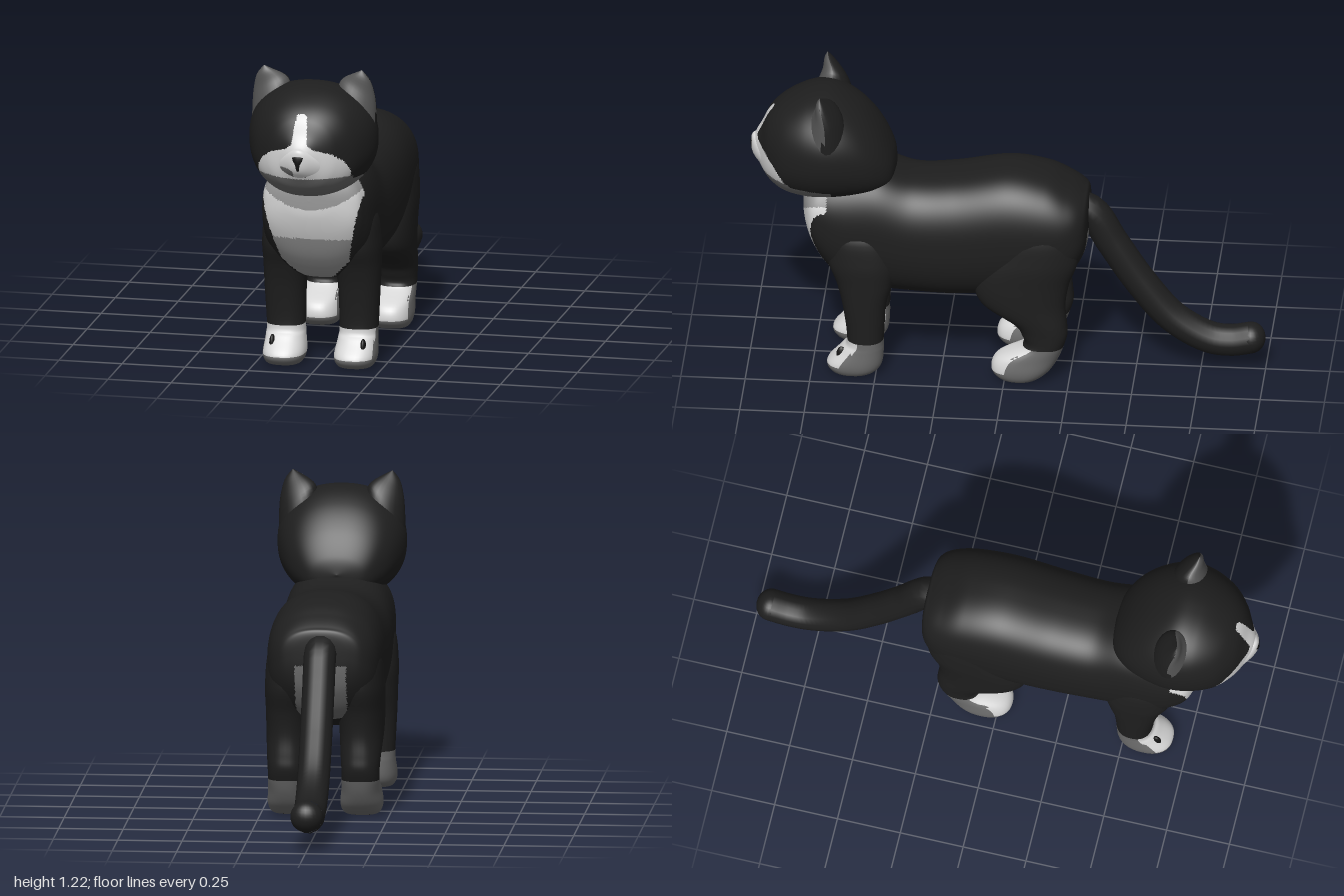
import * as THREE from 'three';

const makeMaterial = (name, color) => {
  const m = new THREE.MeshStandardMaterial({ color });
  m.name = name;
  return m;
};

// Catmull-Rom blend of table rows, column by column
function sampleRows(rows, steps) {
  const out = [], last = rows.length - 1;
  for (let i = 0; i < last; i++) {
    const [a, b, c, d] = [Math.max(i - 1, 0), i, i + 1, Math.min(i + 2, last)].map(k => rows[k]);
    for (let s = 0; s < steps; s++) {
      const t = s / steps;
      out.push(b.map((v, k) => v + 0.5 * t * (c[k] - a[k] +
        t * (2 * a[k] - 5 * v + 4 * c[k] - d[k] + t * (3 * (v - c[k]) + d[k] - a[k])))));
    }
  }
  out.push(rows[last]);
  return out;
}

// Skin over closed cross-sections; pick(centre, normal) chooses the material of each face
function loft(name, rows, { steps = 4, sides = 24, power = 2, point, materials, pick = () => 0 }) {
  const rings = sampleRows(rows, steps), points = [];
  const bend = v => Math.sign(v) * Math.abs(v) ** (2 / power);
  for (const row of rings) {
    for (let j = 0; j < sides; j++) {
      const a = j / sides * Math.PI * 2;
      points.push(new THREE.Vector3(...point(row, bend(Math.cos(a)), bend(Math.sin(a)))));
    }
  }
  const faces = materials.map(() => []);
  const triangle = new THREE.Triangle(), centre = new THREE.Vector3(), normal = new THREE.Vector3();
  for (let i = 0; i < rings.length - 1; i++) {
    for (let j = 0; j < sides; j++) {
      const k = (j + 1) % sides, p = i * sides, q = p + sides;
      for (const tri of [[p + j, p + k, q + j], [p + k, q + k, q + j]]) {
        triangle.set(...tri.map(v => points[v]));
        faces[pick(triangle.getMidpoint(centre), triangle.getNormal(normal))].push(...tri);
      }
    }
  }
  const geo = new THREE.BufferGeometry().setFromPoints(points);
  geo.setIndex(faces.flat());
  let start = 0;
  faces.forEach((f, m) => {
    if (f.length) geo.addGroup(start, f.length, m);
    start += f.length;
  });
  geo.computeVertexNormals();
  const mesh = new THREE.Mesh(geo, materials);
  mesh.name = name;
  return mesh;
}

// Piecewise linear lookup
function lookup(points, v) {
  if (v <= points[0][0]) return points[0][1];
  for (let i = 1; i < points.length; i++) {
    const [a, fa] = points[i - 1], [b, fb] = points[i];
    if (v <= b) return fa + (fb - fa) * (v - a) / (b - a);
  }
  return points[points.length - 1][1];
}

export function createModel() {
  const black = makeMaterial('black fur', 0x1e1e1e);
  const white = makeMaterial('white fur', 0xd6d6d6);
  const lightGrey = makeMaterial('light grey fur', 0x979797);
  const grey = makeMaterial('grey fur', 0x6a6a6a);
  const earGrey = makeMaterial('inner ear grey', 0x545454);
  const dark = makeMaterial('nose and pad black', 0x131313);
  const cat = new THREE.Group();
  cat.name = 'cat';
  const add = (name, geo, mat, x, y, z, sx = 1, sy = 1, sz = 1) => {
    const m = new THREE.Mesh(geo, mat);
    m.name = name;
    m.position.set(x, y, z);
    m.scale.set(sx, sy, sz);
    cat.add(m);
  };

  // Rows along z: z, low y, high y, half width
  const alongZ = ([z, lo, hi, r], c, s) => [r * c, (lo + hi) / 2 + (hi - lo) / 2 * s, z];

  // Torso: white bib, light throat and lower chest, grey belly and under-tail patch
  const bib = [[0.33, 0], [0.36, 0.06], [0.44, 0.135], [0.55, 0.16], [0.72, 0.2], [0.8, 0.21]];
  cat.add(loft('torso', [
    [-0.32, 0.66, 0.66, 0], [-0.315, 0.57, 0.745, 0.11], [-0.295, 0.5, 0.77, 0.17],
    [-0.24, 0.42, 0.805, 0.205], [-0.15, 0.37, 0.845, 0.22], [0, 0.335, 0.865, 0.225],
    [0.2, 0.32, 0.83, 0.22], [0.36, 0.325, 0.82, 0.215], [0.5, 0.335, 0.865, 0.215],
    [0.62, 0.36, 0.86, 0.215], [0.7, 0.44, 0.84, 0.205], [0.755, 0.54, 0.81, 0.18],
    [0.785, 0.63, 0.76, 0.1], [0.79, 0.7, 0.7, 0]
  ], {
    steps: 10, sides: 120, power: 2.5, point: alongZ, materials: [black, white, lightGrey, grey],
    pick: ({ x, y, z }) => {
      const w = Math.abs(x);
      if (z > (y > 0.6 ? 0.69 : 0.58) && w < lookup(bib, y)) {
        return y < 0.54 || y > 0.665 + 2 * w * w ? 2 : 1;
      }
      const belly = y < 0.35 && w < 0.14 && z > 0.08 && z < 0.44;
      const underTail = z < -0.2 && y < 0.62 && w < 0.1;
      return belly || underTail ? 3 : 0;
    }
  }));

  // Head with white blaze and grey chin
  const mask = [[0, 1.08], [0.018, 1.075], [0.025, 1.04], [0.03, 0.97], [0.055, 0.95], [0.12, 0.93],
    [0.16, 0.9], [0.182, 0.86], [0.185, 0.815], [0.26, 0.795]];
  cat.add(loft('head', [
    [0.43, 0.85, 0.85, 0], [0.445, 0.78, 0.92, 0.11], [0.5, 0.75, 1.02, 0.18],
    [0.58, 0.735, 1.105, 0.225], [0.68, 0.725, 1.16, 0.25], [0.77, 0.725, 1.155, 0.24],
    [0.86, 0.74, 1.115, 0.2], [0.92, 0.775, 1.065, 0.14], [0.955, 0.82, 1.0, 0.08],
    [0.98, 0.87, 0.955, 0.035], [0.985, 0.915, 0.915, 0]
  ], {
    steps: 12, sides: 160, power: 2.25, point: alongZ, materials: [black, white, grey],
    pick: ({ x, y, z }) => (z < 0.67 || y > lookup(mask, Math.abs(x)) ? 0 : y > 0.83 ? 1 : 2)
  }));

  // Muzzle with a grey lip patch on one side
  cat.add(loft('muzzle', [
    [0.79, 0.8, 0.925, 0.16], [0.86, 0.797, 0.935, 0.155], [0.91, 0.805, 0.943, 0.125],
    [0.95, 0.825, 0.953, 0.085], [0.98, 0.853, 0.955, 0.048], [0.994, 0.88, 0.945, 0.022],
    [0.998, 0.915, 0.915, 0]
  ], {
    steps: 10, sides: 80, point: alongZ, materials: [white, grey],
    pick: ({ x, y }) => (y < 0.83 || Math.hypot((x + 0.065) / 0.045, (y - 0.856) / 0.022) < 1 ? 1 : 0)
  }));

  // Tapered nose, rows from the top: y, back z, front z, centre x, half width
  const alongY = side => ([y, lo, hi, x, r], c, s) =>
    [side * x + r * c, y, (lo + hi) / 2 + (hi - lo) / 2 * s];
  cat.add(loft('nose', [
    [0.938, 0.975, 0.975, 0, 0], [0.932, 0.95, 0.995, 0, 0.034], [0.915, 0.95, 1.0, 0, 0.032],
    [0.895, 0.95, 0.999, 0, 0.02], [0.87, 0.95, 0.992, 0, 0.012], [0.858, 0.97, 0.97, 0, 0]
  ], { sides: 20, point: alongY(1), materials: [dark] }));

  const ball = new THREE.SphereGeometry(1, 24, 16);
  for (const s of [-1, 1]) {
    // Mouth line
    const smile = new THREE.CatmullRomCurve3([[0, 0.865, 0.983], [0.03, 0.838, 0.957],
      [0.065, 0.833, 0.937], [0.105, 0.842, 0.914]].map(([x, y, z]) => new THREE.Vector3(s * x, y, z)));
    add('mouthLine', new THREE.TubeGeometry(smile, 16, 0.004, 6), dark, 0, 0, 0);

    // Ear rows: centre x, y, z, half spread in x, drop in y, half depth
    cat.add(loft('ear', [
      [0.168, 1.055, 0.69, 0.078, 0.06, 0.075], [0.173, 1.105, 0.69, 0.072, 0.054, 0.06],
      [0.182, 1.148, 0.695, 0.058, 0.034, 0.04], [0.193, 1.19, 0.71, 0.031, 0.012, 0.019],
      [0.194, 1.217, 0.717, 0, 0, 0]
    ], {
      sides: 24, materials: [black, earGrey],
      point: ([x, y, z, rx, dy, rz], c, k) => [s * x + rx * c, y - s * dy * c, z - rz * k],
      pick: (centre, normal) => (normal.z > 0.15 ? 1 : 0)
    }));

    // Leg rows as for the nose; white paw fronts, grey paw sides and backs, dark pads
    const leg = (name, rows, isWhite) => cat.add(loft(name, rows, {
      steps: 6, sides: 40, power: 2.4, materials: [black, white, grey, dark], point: alongY(s),
      pick: ({ y }, normal) => (y > 0.152 ? 0 : y < 0.004 ? 3 : y > 0.045 && isWhite(normal) ? 1 : 2)
    }));
    leg('frontLeg', [
      [0.66, 0.57, 0.57, 0.13, 0], [0.62, 0.47, 0.67, 0.13, 0.08], [0.5, 0.42, 0.69, 0.135, 0.095],
      [0.4, 0.435, 0.655, 0.142, 0.087], [0.3, 0.46, 0.63, 0.146, 0.08],
      [0.152, 0.47, 0.612, 0.144, 0.075], [0.11, 0.47, 0.635, 0.143, 0.077],
      [0.05, 0.475, 0.688, 0.141, 0.083], [0.018, 0.495, 0.68, 0.141, 0.075],
      [0.003, 0.53, 0.65, 0.141, 0.055], [0, 0.59, 0.59, 0.141, 0]
    ], n => n.z > 0.3 || n.x * s < -0.6);
    leg('hindLeg', [
      [0.72, -0.12, -0.12, 0.13, 0], [0.66, -0.26, 0.02, 0.13, 0.08], [0.53, -0.285, 0.09, 0.135, 0.095],
      [0.42, -0.25, 0.12, 0.14, 0.09], [0.33, -0.235, 0.09, 0.142, 0.085],
      [0.25, -0.24, -0.03, 0.143, 0.078], [0.2, -0.243, -0.065, 0.143, 0.074],
      [0.152, -0.23, -0.07, 0.143, 0.073], [0.1, -0.21, 0.03, 0.142, 0.078],
      [0.05, -0.18, 0.053, 0.141, 0.083], [0.018, -0.145, 0.035, 0.141, 0.075],
      [0.003, -0.11, 0.0, 0.141, 0.055], [0, -0.055, -0.055, 0.141, 0]
    ], n => n.z > 0.3);
    // Dark fleck on the front paw
    add('pawFleck', ball, dark, s * 0.18, 0.085, 0.632, 0.012, 0.036, 0.02);
  }

  // Tail
  const tailPath = new THREE.CatmullRomCurve3([[0.695, -0.25], [0.665, -0.325], [0.535, -0.405],
    [0.365, -0.515], [0.215, -0.64], [0.132, -0.78], [0.122, -0.87], [0.136, -0.945]]
    .map(([y, z]) => new THREE.Vector3(0, y, z)));
  add('tail', new THREE.TubeGeometry(tailPath, 40, 0.063, 14), black, 0, 0, 0);
  add('tailTip', ball, black, 0, 0.136, -0.945, 0.063, 0.061, 0.055);
  return cat;
}
